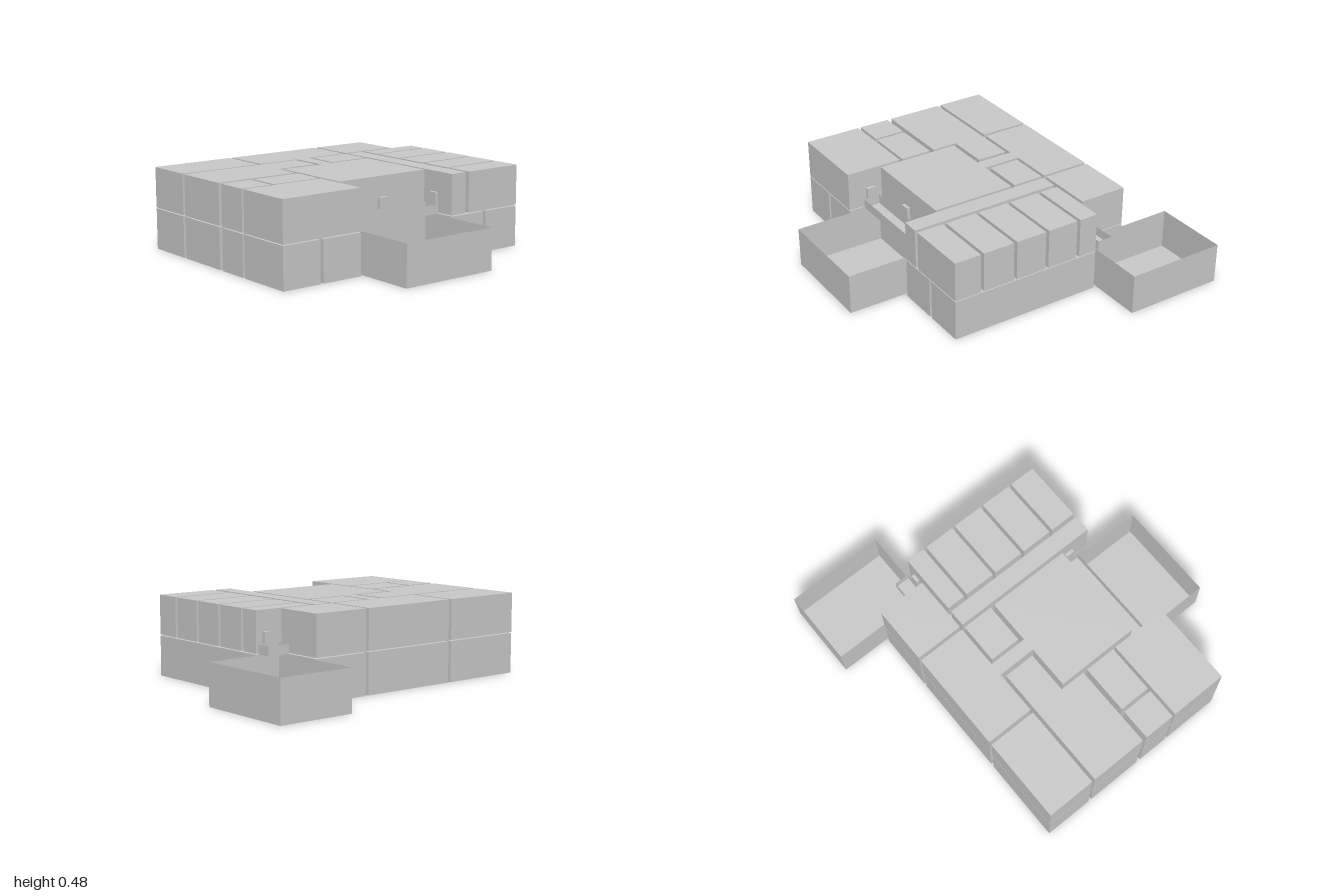
import * as THREE from 'three';

const LOWER = { y: 0, h: 0.24, door: 0.11 };
const UPPER = { y: 0.246, h: 0.237, door: 0.118 };

export function createModel() {
  const model = new THREE.Group();
  const solid = new THREE.MeshStandardMaterial({ color: 0xcccccc });
  const thin = new THREE.MeshStandardMaterial({ color: 0xcccccc, side: THREE.DoubleSide });

  // Plan rectangle (x0..x1, z0..z1) raised to a block
  const block = (parent, name, [x0, x1, z0, z1], y, h, open = false) => {
    const geo = new THREE.BoxGeometry(x1 - x0, h, z1 - z0);
    if (open) {
      // drop the lid
      const idx = Array.from(geo.index.array);
      idx.splice(12, 6);
      geo.setIndex(idx);
      geo.clearGroups();
    }
    const mesh = new THREE.Mesh(geo, open ? thin : solid);
    mesh.name = name;
    mesh.position.set((x0 + x1) / 2, y + h / 2, (z0 + z1) / 2);
    parent.add(mesh);
  };

  // Free plan outline of [x, z] corners raised to a block
  const outline = (parent, name, pts, y, h) => {
    const shape = new THREE.Shape(pts.map(([x, z]) => new THREE.Vector2(x, -z)));
    const geo = new THREE.ExtrudeGeometry(shape, { depth: h, bevelEnabled: false });
    geo.rotateX(-Math.PI / 2);
    const mesh = new THREE.Mesh(geo, solid);
    mesh.name = name;
    mesh.position.y = y;
    parent.add(mesh);
  };

  // Rooms and doorways found on both storeys
  const sharedRooms = {
    backLeftRoom: [-1, -0.49, -0.65, -0.355],
    backMiddleRoom: [-0.47, 0.145, -0.65, -0.355],
    backRightRoom: [0.165, 0.515, -0.65, -0.355],
    cornerRoom: [-1, -0.81, 0.04, 0.232],
    sideRoom: [-0.79, -0.49, 0.04, 0.232],
  };
  const sharedDoors = [
    [-0.49, -0.47, -0.45, -0.4], [0.145, 0.165, -0.45, -0.4],
    [-0.32, -0.275, -0.145, -0.12], [-0.055, 0, -0.145, -0.12],
    [-0.81, -0.79, 0.13, 0.19], [-0.955, -0.91, 0.232, 0.25],
    [-0.735, -0.695, 0.232, 0.25], [0.58, 0.63, -0.355, -0.335],
  ];
  for (const [x0, x1] of [[-0.49, -0.47], [0.145, 0.165]]) {
    for (const [z0, z1] of [[0.08, 0.125], [0.29, 0.35], [0.43, 0.485]]) {
      sharedDoors.push([x0, x1, z0, z1]);
    }
  }

  const storey = (name, level, rooms, doors) => {
    const g = new THREE.Group();
    g.name = name;
    for (const [n, r] of Object.entries({ ...sharedRooms, ...rooms })) block(g, n, r, level.y, level.h);
    // L-shaped room on the left
    outline(g, 'cornerHall', [[-1, -0.335], [-1, 0.012], [-0.49, 0.012], [-0.49, -0.145],
      [-0.23, -0.145], [-0.23, -0.335]], level.y, level.h);
    // Central hall with the passage running back
    outline(g, 'centralHall', [[-0.47, -0.12], [-0.47, 0.39], [0.145, 0.39], [0.145, -0.12],
      [-0.125, -0.12], [-0.125, -0.355], [-0.205, -0.355], [-0.205, -0.12]], level.y, level.h);
    for (const d of [...sharedDoors, ...doors]) block(g, 'doorway', d, level.y, level.door);
    model.add(g);
    return g;
  };

  // Ground storey with two open yards
  const lower = storey('lowerStorey', LOWER, {
    frontLeftRoom: [-1, -0.76, 0.25, 0.6],
    frontInnerRoom: [-0.74, -0.49, 0.25, 0.6],
    rightOuterRoom: [0.43, 0.675, -0.335, 0.6],
  }, [
    [-0.76, -0.74, 0.4, 0.45], [-0.22, -0.11, 0.39, 0.41],
    [0.41, 0.43, -0.1, -0.05], [0.41, 0.43, 0.1, 0.15], [0.41, 0.43, 0.43, 0.48],
  ]);
  outline(lower, 'rightInnerRoom', [[-0.105, -0.335], [-0.105, -0.145], [0.165, -0.145],
    [0.165, 0.6], [0.41, 0.6], [0.41, -0.335]], LOWER.y, LOWER.h);
  block(lower, 'frontYard', [-0.47, 0.14, 0.41, 0.95], 0, 0.24, true);
  block(lower, 'backYard', [0.535, 1, -0.96, -0.355], 0, 0.24, true);

  // Upper storey with a row of small rooms and two balconies
  const rooms = {
    frontLeftRoom: [-1, -0.49, 0.25, 0.6],
    innerRoom: [-0.105, 0.145, -0.335, -0.145],
    rightCorridor: [0.165, 0.27, -0.335, 0.6],
  };
  const doors = [[-0.2, -0.14, 0.39, 0.41]];
  [[-0.335, -0.22], [-0.2, -0.008], [0.012, 0.203], [0.223, 0.417], [0.437, 0.6]].forEach(([z0, z1], i) => {
    rooms['smallRoom' + (i + 1)] = [0.295, 0.675, z0, z1];
  });
  for (const [z0, z1] of [[-0.335, -0.28], [-0.13, -0.08], [0.08, 0.125], [0.29, 0.35], [0.505, 0.55]]) {
    doors.push([0.27, 0.295, z0, z1]);
  }
  const upper = storey('upperStorey', UPPER, rooms, doors);
  block(upper, 'frontBalcony', [-0.47, 0.14, 0.41, 0.51], UPPER.y, 0.055, true);
  block(upper, 'backBalcony', [0.535, 0.675, -0.445, -0.355], UPPER.y, 0.055, true);

  return model;
}
